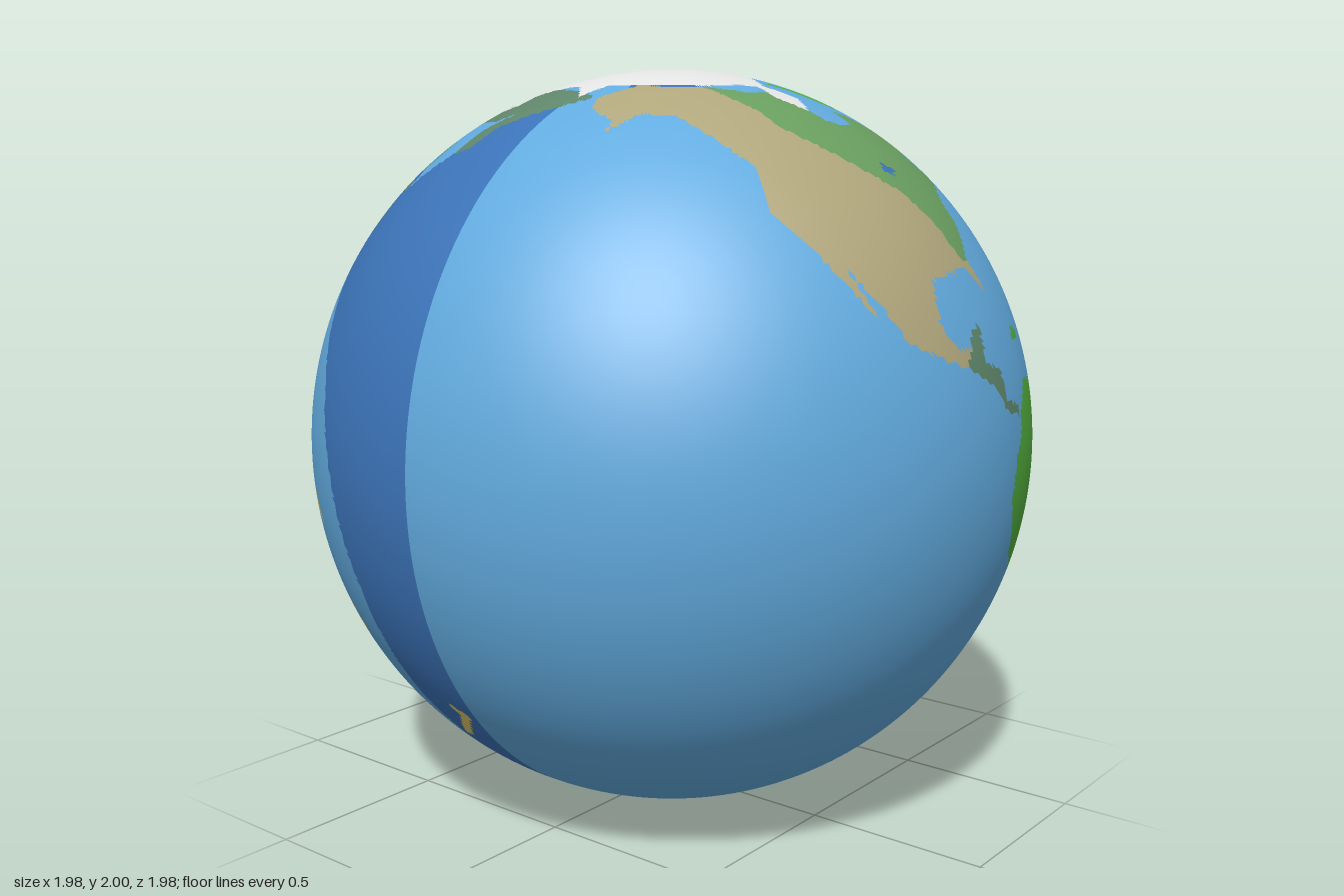
import * as THREE from 'three';

const paint = (name, color) => Object.assign(new THREE.MeshStandardMaterial({ color }), { name });
const MATERIALS = {
  ocean: paint('ocean blue', 0x62abdf),
  deepSea: paint('deep sea blue', 0x3c74b9),
  forest: paint('forest green', 0x5f866b),
  woodland: paint('woodland green', 0x6a9f60),
  jungle: paint('jungle green', 0x54b03e),
  desert: paint('desert yellow', 0xdfca6b),
  steppe: paint('steppe tan', 0xb0a67c),
  ice: paint('ice white', 0xe4e4e4),
};

// Layers are painted in order. Rings are longitude, latitude pairs in degrees.
const layers = [];
function layer(part, ring, options = {}) {
  const xs = ring.filter((_, i) => i % 2 === 0), ys = ring.filter((_, i) => i % 2 === 1);
  layers.push({
    part, xs, ys, ...options,
    box: [Math.min(...xs), Math.max(...xs), Math.min(...ys), Math.max(...ys)],
  });
}

// Deep seas: west Pacific, Sea of Japan, Nordic seas, Mediterranean with Red Sea, Beaufort
layer('deepSea', [137, 36, 137, 32, 145, 23, 154, 12, 159, -2, 163, -18, 164, -37, 168, -53, 165, -78, 180, -80,
  180, 68, 165, 62, 156, 51, 146, 44]);
layer('deepSea', [129.5, 36, 132, 43, 140, 48, 146, 46, 141, 36]);
layer('deepSea', [-14, 82, -11, 72, -5, 57, 6, 56, 12, 53, 30, 58, 30, 65, 45, 72, 55, 74, 55, 82]);
layer('deepSea', [1, 34, 1, 45, 42, 47, 42, 41, 37, 36, 36, 30, 44, 13, 42, 12, 30, 28]);
layer('deepSea', [-160, 70, -125, 69, -125, 76, -160, 76]);

// North America, its eastern woods and the isthmus
layer('steppe', [-168, 66, -156, 71, -141, 70, -125, 70, -110, 68, -95, 69, -90, 66, -93, 62, -92, 59, -86, 58,
  -79, 58.5, -78, 62, -71, 61, -66, 58.5, -62, 57, -56, 52.5, -66, 50, -64, 48, -60, 46, -65, 44, -70, 43,
  -74, 40.5, -76, 36, -81, 31.5, -80, 26, -82, 28, -84, 30, -90, 29.5, -96, 28.5, -97.5, 22, -95, 18.5,
  -91, 18.5, -94, 16, -105, 20, -109, 26, -113, 31, -110, 24, -115, 30, -118, 34, -124, 40, -124, 48,
  -131, 54, -140, 60, -150, 60.5, -158, 56, -157, 58.5, -166, 62]);
layer('woodland', [-137, 72, -125, 69, -114, 61, -112, 57, -90, 43, -86, 38, -83.5, 31, -79, 30.5, -50, 40, -50, 72],
  { over: 'steppe' });
layer('woodland', [-59, 48, -53, 47, -55, 51.5]);
layer('forest', [-91.5, 18, -90, 21, -87, 21.5, -88, 16, -83.5, 15, -83, 10, -77.5, 9, -78, 7.5, -83, 8.5, -87, 13, -94, 16]);
layer('deepSea', [-91, 47, -88, 49, -85, 47, -88, 46.5]);

// South America with its dry east and south
layer('jungle', [-77, 8, -72, 12, -62, 10.5, -52, 5, -50, 0, -44, -2.5, -35, -6, -35, -9, -39, -14, -41, -22,
  -48, -26, -53, -33, -58, -35, -57, -38, -62, -39, -65, -43, -67, -46, -66, -48, -69, -51, -65, -55, -71, -54,
  -75, -50, -73, -40, -71.5, -30, -70, -18, -76, -14, -81, -5, -80, 1, -77.5, 4]);
layer('desert', [-53, 2, -53, -11, -47, -14, -42, -14.5, -39, -12.5, -30, -13, -30, 2], { over: 'jungle' });
layer('desert', [-72, -17.5, -70, -17.5, -65, -21, -54.5, -34, -50, -60, -80, -60, -76, -30], { over: 'jungle' });

// Africa with its northern and southern deserts
layer('jungle', [-6, 36, 10, 37, 11, 34, 19, 30.5, 22, 33, 32, 31, 35, 32, 35, 28, 33, 28, 37, 21, 39.5, 15.5,
  43, 12, 51, 12, 48, 4, 41, -2, 39, -6, 40.5, -15, 35, -20, 35.5, -24, 32.5, -27, 27, -34, 20, -35, 18, -33,
  15, -27, 12, -18, 13.5, -11, 9, -1, 9.5, 4, 4, 6.5, -3, 5, -8, 4.5, -13, 8.5, -17, 14, -16.5, 21, -10, 30]);
layer('desert', [-20, 17.2, -16.5, 17, 15, 11.5, 31.5, 10, 37, -4, 60, -4, 60, 40, -20, 40], { over: 'jungle' });
layer('desert', [10, -14, 34, -21.7, 40, -24, 40, -36, 10, -36], { over: 'jungle' });
layer('desert', [44, -17, 49.5, -12.5, 50, -16, 47, -25, 44, -24]);

// Europe, Scandinavia, Anatolia
layer('forest', [-9, 37, -9, 43, -1, 43.5, -2, 47.5, -5, 48.5, 2, 51, 8, 54, 8, 57, 10.5, 57.5, 11, 54, 19, 54.5,
  21, 57, 24, 57.5, 23, 59, 29, 60, 30, 66, 36, 64, 40, 65, 44, 68.5, 61, 69, 61, 45, 47, 43, 40, 43.5, 38, 47,
  33, 46, 30, 45.5, 28, 41, 23, 40.5, 24, 38, 22, 36.5, 19.5, 40.5, 19, 42, 13.5, 45.5, 12.5, 44, 18, 40.5,
  16, 38, 12, 42, 9, 44.5, 3.5, 43, 0, 40, -2, 37, -5.5, 36]);
layer('forest', [29, 60, 22, 60.5, 21.5, 63, 25, 65.5, 22, 65.5, 17.5, 61, 19, 60, 16.5, 57, 14, 55.5, 12, 57.5,
  10.5, 59, 7, 58, 5, 60, 5.5, 62.5, 12, 66, 18, 70, 26, 71, 41, 67.5, 33, 66.5, 33, 62]);
layer('forest', [26, 40, 29, 41, 35, 42, 41, 41.5, 44, 38, 36, 36.5, 30, 36.3, 27, 37]);
layer('steppe', [-7, 37.5, -7, 42, -2, 42, 0, 40, -2, 37.5], { over: 'forest' });

// Northern Asia, then southern and eastern Asia
layer('forest', [60, 69, 68, 68, 73, 72, 80, 73, 90, 75, 105, 78, 113, 74, 130, 71, 140, 73, 160, 70, 180, 69,
  190, 66, 180, 63, 170, 60, 163, 57, 162, 52, 156, 51, 156, 57, 163, 61, 155, 59, 142, 59, 135, 54.5,
  141, 53, 140, 48, 132, 43, 128, 40, 60, 40]);
layer('forest', [128, 41, 129.5, 36, 126.5, 34.5, 126, 38, 121, 40, 118, 39, 122, 37, 119.5, 35, 122, 31, 120, 26,
  114, 22, 110, 21, 106, 20, 109, 13, 105, 9, 100, 13.5, 99, 10, 103, 5, 104, 1.5, 101, 3, 98.5, 9, 98, 16,
  94, 16, 92, 21, 87, 21.5, 80, 15, 80, 11, 77.5, 8, 73, 17, 72, 21, 67, 25, 60, 30, 60, 41]);
layer('steppe', [73, 34, 78, 30, 83, 27, 79, 20, 77, 16, 77.5, 7, 70, 15, 68, 24], { over: 'forest' });
// Arabian, Persian and central Asian deserts, inland seas
layer('desert', [35, 32, 36, 37, 40, 42, 48, 47, 50, 51, 59, 52, 71, 53, 76, 53, 92, 49, 112, 50, 119, 45, 111, 37,
  91, 33, 81, 34, 73, 34, 75, 28, 70, 23, 67, 25, 57, 26.5, 53, 27, 50, 30, 48, 30, 51, 24, 54, 24, 56.5, 26,
  60, 22.5, 55, 17, 45, 12.8, 43, 13, 39, 21, 35, 28]);
layer('deepSea', [47, 45, 50, 47, 53, 46.5, 51, 44.5, 53, 41, 54, 37, 50, 37.5, 49, 41]);
layer('ocean', [58.5, 45, 61, 46.5, 61.5, 44, 59, 43.5]);

// Australia
layer('desert', [114, -22, 122, -18, 129, -15, 131, -11.5, 136.5, -12, 136, -15, 140, -17.5, 142.5, -11, 146, -19,
  153, -26, 150, -37, 144, -38.5, 138, -35, 131, -31.5, 124, -33.5, 115.5, -34.5]);

// Islands
for (const ring of [
  [-5, 50, 1, 51.5, -2, 55.5, -3, 58.5, -6, 57, -3, 54], [-10, 52, -6, 52.5, -6, 55, -9, 54.5],
  [130, 32, 136, 34, 141, 36, 142, 40, 140, 41, 138, 37, 131, 34.5], [140, 42, 145, 43.5, 142, 45.5],
  [142, 46, 144, 50, 143, 54, 142, 53], [52, 71, 56, 71, 68, 76.5, 60, 76], [80, 9, 80, 7, 81, 6.5, 81.5, 8],
  [95, 5.5, 103, -1, 106, -5.5, 103, -4.5, 98, 1], [105.5, -6.5, 114, -7.2, 114, -8.7, 106, -7.7],
  [109, 1.5, 113, 3, 117, 7, 119, 5, 118, 1, 116, -4, 110, -2.5], [120, 23, 121.5, 25, 121, 22],
]) layer('forest', ring);
for (const ring of [
  [-86, 73, -78, 73, -68, 70, -62, 66, -66, 62.5, -73, 65, -78, 70], [-24, 65.5, -19, 66.5, -14, 65, -19, 63.5],
  [-74, 18.3, -73, 20, -69, 19.5, -69, 18], [120.3, 14, 120.7, 18.5, 122.2, 18, 122, 14],
]) layer('jungle', ring);
for (const ring of [
  [131, -1, 138, -2, 145, -5, 150.5, -10.5, 144, -8, 138, -8, 135, -4], [145, -41, 148, -41, 147, -43.5],
  [173, -35, 178, -38, 175, -41, 171, -45, 167, -46, 172, -41, 175, -39],
]) layer('desert', ring);
layer('desert', [108, 0.5, 112, 1.5, 117, 1, 120, -5, 108, -5], { over: 'forest' });

// Polar ice: the northern ring is given as x, z seen from above
layer('ice', [-0.25, -0.47, -0.13, -0.45, -0.09, -0.34, 0.03, -0.21, 0.16, -0.13, 0.22, 0.03, 0.27, 0.11, 0.34, 0.32,
  0.3, 0.36, 0.16, 0.27, 0.08, 0.2, -0.02, 0.32, 0.02, 0.4, -0.03, 0.475, -0.07, 0.4, -0.05, 0.32, -0.2, 0.27,
  -0.29, 0.16, -0.32, 0.05, -0.4, 0.02, -0.32, -0.05, -0.31, -0.21, -0.38, -0.21, -0.37, -0.28, -0.3, -0.28,
  -0.26, -0.21, -0.13, -0.28, -0.18, -0.35, -0.25, -0.42], { polar: true });
layer('ice', [-180, -78, -150, -76, -100, -73, -75, -72, -66, -67, -58, -63, -61, -68, -61, -75, -35, -78, -10, -71,
  30, -69, 55, -66.5, 90, -66.5, 130, -66, 150, -68.5, 170, -72, 165, -78, 180, -78, 180, -91, -180, -91]);

// Even-odd test of a point against one ring
function inside({ xs, ys, box }, x, y) {
  if (x < box[0] || x > box[1] || y < box[2] || y > box[3]) return false;
  let hit = false;
  for (let i = 0, j = xs.length - 1; i < xs.length; j = i++) {
    if ((ys[i] > y) !== (ys[j] > y) && x < ((xs[j] - xs[i]) * (y - ys[i])) / (ys[j] - ys[i]) + xs[i]) hit = !hit;
  }
  return hit;
}

function partAt(p) {
  const lon = THREE.MathUtils.radToDeg(Math.atan2(-p.z, p.x));
  const lat = THREE.MathUtils.radToDeg(Math.asin(p.y));
  let part = 'ocean';
  for (const l of layers) {
    if (l.over && l.over !== part) continue;
    const hit = l.polar ? p.y > 0 && inside(l, p.x, p.z) : inside(l, lon, lat) || inside(l, lon + 360, lat);
    if (hit) part = l.part;
  }
  return part;
}

export function createModel() {
  const globe = new THREE.Group();
  globe.name = 'globe';

  // Sort the faces of one fine sphere by the region they lie in
  const sphere = new THREE.SphereGeometry(1, 360, 180);
  const position = sphere.attributes.position, index = sphere.index.array;
  const faces = Object.fromEntries(Object.keys(MATERIALS).map((part) => [part, []]));
  const centre = new THREE.Vector3(), corner = new THREE.Vector3();
  for (let i = 0; i < index.length; i += 3) {
    centre.set(0, 0, 0);
    for (let k = 0; k < 3; k++) centre.add(corner.fromBufferAttribute(position, index[i + k]));
    faces[partAt(centre.normalize())].push(index[i], index[i + 1], index[i + 2]);
  }

  // One mesh per region, all lying on the same slightly slim sphere
  for (const [part, list] of Object.entries(faces)) {
    sphere.setIndex(list);
    const mesh = new THREE.Mesh(sphere.toNonIndexed().scale(0.988, 1, 0.988), MATERIALS[part]);
    mesh.name = part;
    mesh.position.y = 1;
    globe.add(mesh);
  }
  return globe;
}
